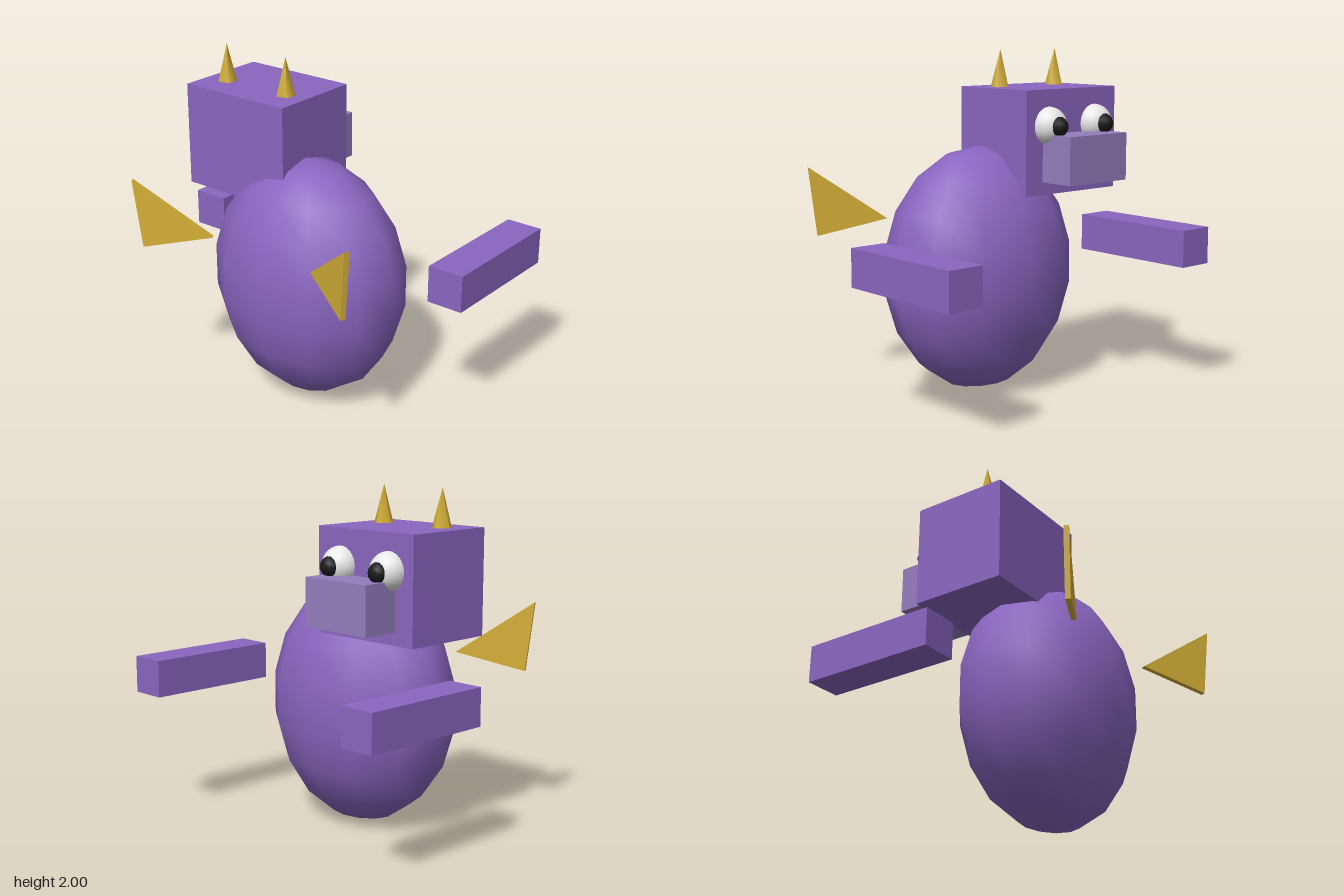
import * as THREE from 'three';

function material(name, color) {
  const m = new THREE.MeshStandardMaterial({ color });
  m.name = name;
  return m;
}

export function createModel() {
  const model = new THREE.Group();
  model.name = 'creature';
  const purple = material('purple skin', 0x8a65c0);
  const lilac = material('lilac snout', 0x947dbd);
  const gold = material('gold', 0xd4af37);
  const white = material('eye white', 0xf0f0f0);
  const black = material('pupil black', 0x1a1a1a);

  function add(name, geometry, mat, x, y, z) {
    const mesh = new THREE.Mesh(geometry, mat);
    mesh.name = name;
    mesh.position.set(x, y, z);
    model.add(mesh);
    return mesh;
  }

  // Egg-shaped body
  const body = add('body', new THREE.SphereGeometry(1, 12, 9), purple, -0.137, 0.722, 0);
  body.scale.set(0.462, 0.722, 0.615);

  // Head and snout, facing +x
  const headZ = -0.387;
  add('head', new THREE.BoxGeometry(0.567, 0.602, 0.715), purple, -0.045, 1.479, headZ);
  add('snout', new THREE.BoxGeometry(0.27, 0.275, 0.457), lilac, 0.325, 1.388, headZ);

  for (const side of [1, -1]) {
    const label = side > 0 ? 'left' : 'right';

    // Eye with a bulging pupil
    const eyeZ = headZ + side * 0.183;
    add(label + 'Eye', new THREE.SphereGeometry(0.109, 20, 16), white, 0.237, 1.573, eyeZ);
    add(label + 'Pupil', new THREE.SphereGeometry(0.059, 10, 8), black, 0.317, 1.573, eyeZ);

    // Five-sided horn
    const horn = add(label + 'Horn', new THREE.ConeGeometry(0.057, 0.22, 5), gold,
      -0.136, 1.89, headZ + side * 0.22);
    horn.rotation.y = 0.49;

    // Straight arm
    add(label + 'Arm', new THREE.BoxGeometry(0.823, 0.217, 0.219), purple,
      0.371, 0.862, side * 0.874);

    // Thin triangular wing, swept back from its inner point
    const outline = new THREE.Shape([
      new THREE.Vector2(0, 0),
      new THREE.Vector2(0.41, -0.09),
      new THREE.Vector2(0.457, 0.315),
    ]);
    const plate = new THREE.ExtrudeGeometry(outline, { depth: 0.03, bevelEnabled: false });
    plate.translate(0, 0, -0.015);
    const wing = add(label + 'Wing', plate, gold, -0.553, 1.005, side * 0.366);
    wing.rotation.y = -side * 2.07;
  }

  return model;
}
